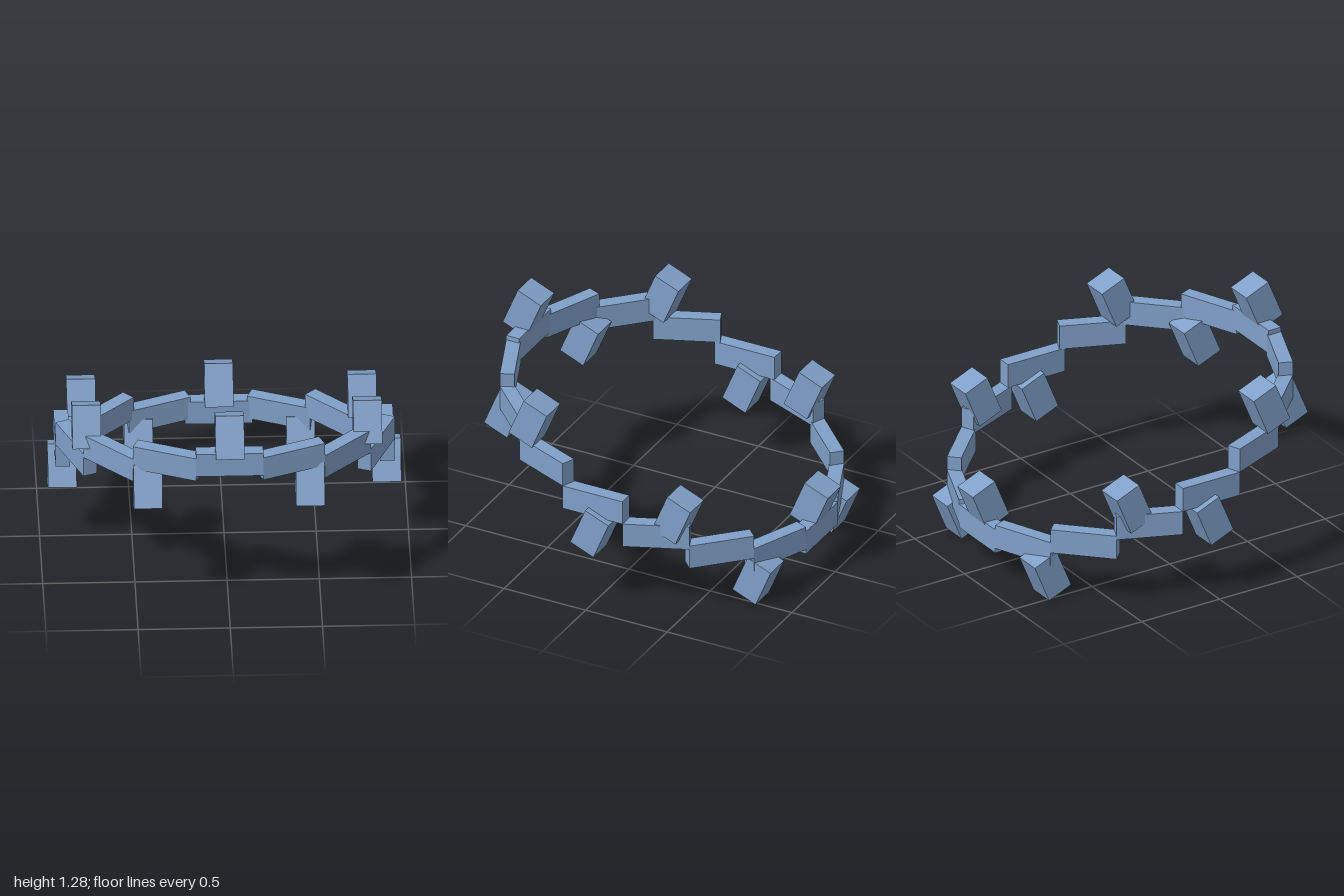
import * as THREE from 'three';

const RADIUS = 0.88;
const TILT = Math.PI / 8;      // slope of the ring, front side high
const MID_HEIGHT = 0.62;

// Point on the sloping circle at an angle measured from the front
function ringPoint(angle, lift = 0) {
  const z = RADIUS * Math.cos(angle);
  return new THREE.Vector3(RADIUS * Math.sin(angle), MID_HEIGHT + z * Math.tan(TILT) + lift, z);
}

export function createModel() {
  const model = new THREE.Group();
  model.name = 'tiltedRing';
  const blue = new THREE.MeshStandardMaterial({ color: 0x80a0c8 });
  blue.name = 'steel blue';

  // Ring of upright boxes stepping up the slope
  const ring = new THREE.Group();
  ring.name = 'ring';
  const segmentGeometry = new THREE.BoxGeometry(0.366, 0.14, 0.08);
  for (let i = 0; i < 16; i++) {
    const angle = (i / 16) * Math.PI * 2;
    const segment = new THREE.Mesh(segmentGeometry, blue);
    segment.name = 'ringSegment';
    segment.position.copy(ringPoint(angle));
    segment.rotation.y = angle;
    ring.add(segment);
  }
  model.add(ring);

  // Blocks tilted with the slope, alternately above and below the ring
  const blocks = new THREE.Group();
  blocks.name = 'blocks';
  const blockGeometry = new THREE.BoxGeometry(0.156, 0.24, 0.154);
  for (let i = 0; i < 12; i++) {
    const above = i % 2 === 0;
    const block = new THREE.Mesh(blockGeometry, blue);
    block.name = above ? 'upperBlock' : 'lowerBlock';
    block.position.copy(ringPoint((i / 12) * Math.PI * 2, above ? 0.162 : -0.162));
    block.rotation.x = -TILT;
    blocks.add(block);
  }
  model.add(blocks);

  return model;
}
